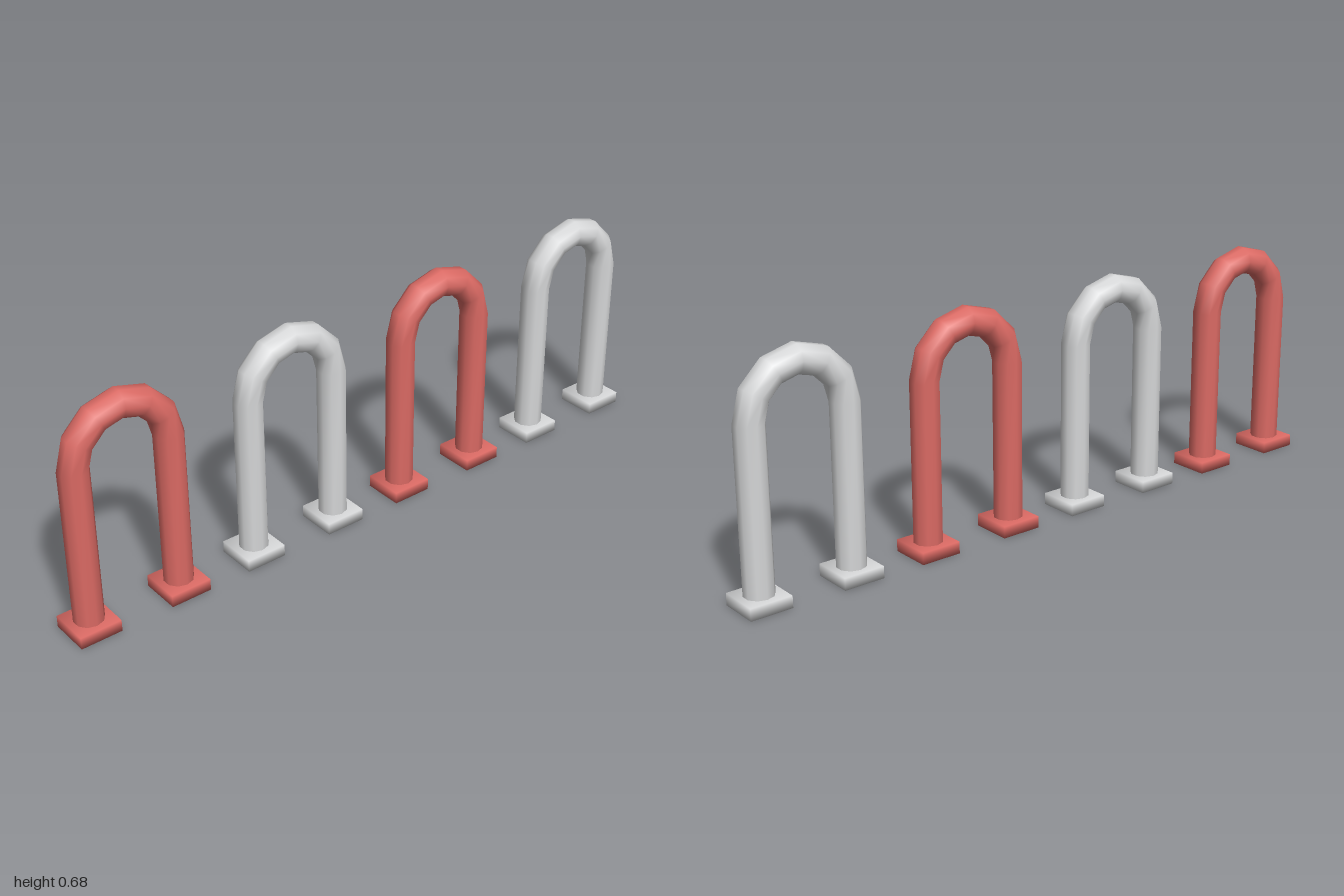
import * as THREE from 'three';
import { mergeVertices } from 'three/addons/utils/BufferGeometryUtils.js';

const LEG = 0.1405;    // leg offset from the hoop centre
const RADIUS = 0.0425; // pipe radius
const BEND_Y = 0.498;  // height where the legs start to bend
const PLATE = 0.123;   // foot plate width
const PLATE_H = 0.035; // foot plate height

// Share vertices so the shading runs smoothly over the whole part
function smooth(geometry) {
  geometry.deleteAttribute('uv');
  geometry.deleteAttribute('normal');
  const merged = mergeVertices(geometry, 1e-4);
  merged.computeVertexNormals();
  return merged;
}

// Ten-sided pipe: an open cylinder bent up one leg, round a half circle and down
function hoopGeometry() {
  const arcSegments = 6;
  const rows = arcSegments + 2;
  const geometry = new THREE.CylinderGeometry(RADIUS, RADIUS, 1, 10, rows, true);
  const p = geometry.attributes.position;
  for (let i = 0; i < p.count; i++) {
    const row = Math.round((p.getY(i) + 0.5) * rows);
    const step = THREE.MathUtils.clamp(row - 1, 0, arcSegments);
    const angle = (step / arcSegments) * Math.PI;
    const r = LEG + p.getX(i);
    const foot = row === 0 || row === rows;
    p.setXY(i, r * Math.cos(angle), foot ? PLATE_H - 0.005 : BEND_Y + r * Math.sin(angle));
  }
  return smooth(geometry);
}

export function createModel() {
  const red = new THREE.MeshStandardMaterial({ color: 0xdb6a64 });
  red.name = 'red';
  const grey = new THREE.MeshStandardMaterial({ color: 0xd6d7d8 });
  grey.name = 'lightGrey';

  const hoop = hoopGeometry();
  const plate = smooth(new THREE.BoxGeometry(PLATE, PLATE_H, PLATE));

  const model = new THREE.Group();
  model.name = 'bikeRack';

  // Four hoops in a row, alternating in colour
  for (let i = 0; i < 4; i++) {
    const material = i % 2 ? grey : red;
    const rack = new THREE.Group();
    rack.name = `rackHoop${i + 1}`;
    rack.position.x = (i - 1.5) * 0.532;

    const pipe = new THREE.Mesh(hoop, material);
    pipe.name = 'bentPipe';
    rack.add(pipe);

    for (const side of [-1, 1]) {
      const foot = new THREE.Mesh(plate, material);
      foot.name = side > 0 ? 'leftFootPlate' : 'rightFootPlate';
      foot.position.set(side * LEG, PLATE_H / 2, 0);
      rack.add(foot);
    }
    model.add(rack);
  }
  return model;
}
